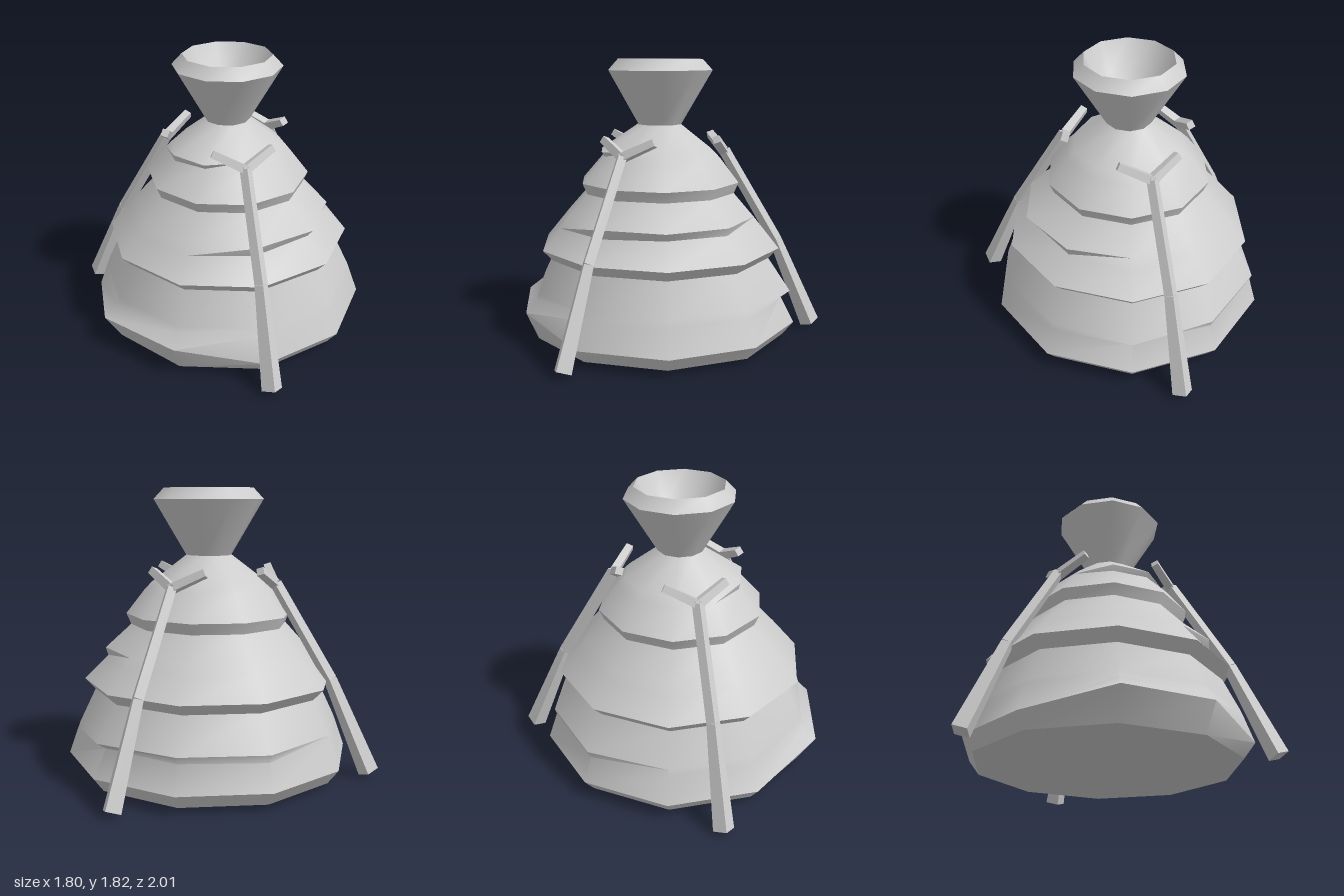
import * as THREE from 'three';
import { toCreasedNormals } from 'three/addons/utils/BufferGeometryUtils.js';

const SIDES = 10;
const CENTRE_Z = -0.085;

// Skin a stack of ten-sided rings: [radius, height, {corner: [radius, height]}]
function ringGeometry(rings) {
  const pos = [];
  const idx = [];
  rings.forEach(([r, y, changes = {}], k) => {
    for (let i = 0; i < SIDES; i++) {
      const [cr, cy] = changes[i] ?? [r, y];
      const a = (i / SIDES) * Math.PI * 2;
      pos.push(cr * Math.sin(a), cy, cr * Math.cos(a));
      if (k === 0) continue;
      const j = (i + 1) % SIDES;
      const lo = (k - 1) * SIDES;
      const hi = k * SIDES;
      if (rings[k - 1][0] > 0) idx.push(lo + i, lo + j, hi + j);
      if (r > 0) idx.push(lo + i, hi + j, hi + i);
    }
  });
  const g = new THREE.BufferGeometry();
  g.setAttribute('position', new THREE.Float32BufferAttribute(pos, 3));
  g.setIndex(idx);
  return toCreasedNormals(g, 0.75);
}

// Tapered four-sided stick between two points
function stick(a, b, ra, rb, material, name, turn = 0) {
  const from = new THREE.Vector3(...a);
  const to = new THREE.Vector3(...b);
  const dir = to.clone().sub(from);
  let g = new THREE.CylinderGeometry(rb, ra, dir.length(), 4);
  g.rotateY(turn);
  g = toCreasedNormals(g, 0.3);
  const mesh = new THREE.Mesh(g, material);
  mesh.quaternion.setFromUnitVectors(new THREE.Vector3(0, 1, 0), dir.normalize());
  mesh.position.copy(from).add(to).multiplyScalar(0.5);
  mesh.name = name;
  return mesh;
}

export function createModel() {
  const model = new THREE.Group();
  model.name = 'thatchedStack';
  const grey = new THREE.MeshStandardMaterial({ color: 0xcccccc });
  grey.name = 'pale grey';

  const stack = new THREE.Group();
  stack.position.z = CENTRE_Z;
  model.add(stack);

  // Layered body with overhanging tiers and a few uneven ledges
  const body = new THREE.Mesh(ringGeometry([
    [0, 0.03],
    [0.84, 0.03],
    [0.91, 0.12, { 8: [0.95, 0.21], 9: [0.92, 0.21] }],
    [0.85, 0.29, { 3: [0.82, 0.29], 5: [0.85, 0.28] }],
    [0.835, 0.33, { 3: [0.88, 0.33], 4: [0.86, 0.33], 5: [0.87, 0.33] }],
    [0.735, 0.54],
    [0.80, 0.61],
    [0.684, 0.75, { 0: [0.66, 0.75], 1: [0.65, 0.76], 2: [0.65, 0.76] }],
    [0.634, 0.81, { 0: [0.68, 0.81], 1: [0.69, 0.81], 2: [0.665, 0.81] }],
    [0.50, 0.96],
    [0.53, 1.03],
    [0.405, 1.19, { 8: [0.39, 1.19], 9: [0.38, 1.2] }],
    [0.36, 1.235, { 8: [0.40, 1.23], 9: [0.40, 1.23] }],
    [0.145, 1.40],
  ]), grey);
  body.name = 'layeredBody';
  stack.add(body);

  // Flared tuft with a hollow top
  const tuft = new THREE.Mesh(ringGeometry([
    [0.145, 1.40],
    [0.35, 1.75],
    [0.285, 1.82],
    [0.19, 1.64],
    [0, 1.53],
  ]), grey);
  tuft.name = 'flaredTop';
  stack.add(tuft);

  // Three forked poles leaning on the body
  [0, 125, -125].forEach((deg, i) => {
    const pole = new THREE.Group();
    pole.name = `forkedPole${i + 1}`;
    const knee = [0, 0.62, 0.785];
    const fork = [0, 1.225, 0.43];
    pole.add(stick([0, 0.03, 1.04], knee, 0.065, 0.042, grey, 'lowerPole'));
    pole.add(stick(knee, fork, 0.042, 0.038, grey, 'upperPole'));
    for (const s of [-1, 1]) {
      pole.add(stick([-s * 0.012, 1.215, 0.43], [s * 0.19, 1.315, 0.355],
        0.038, 0.033, grey, s > 0 ? 'leftProng' : 'rightProng', Math.PI / 4));
    }
    pole.rotation.y = THREE.MathUtils.degToRad(deg);
    stack.add(pole);
  });

  return model;
}
